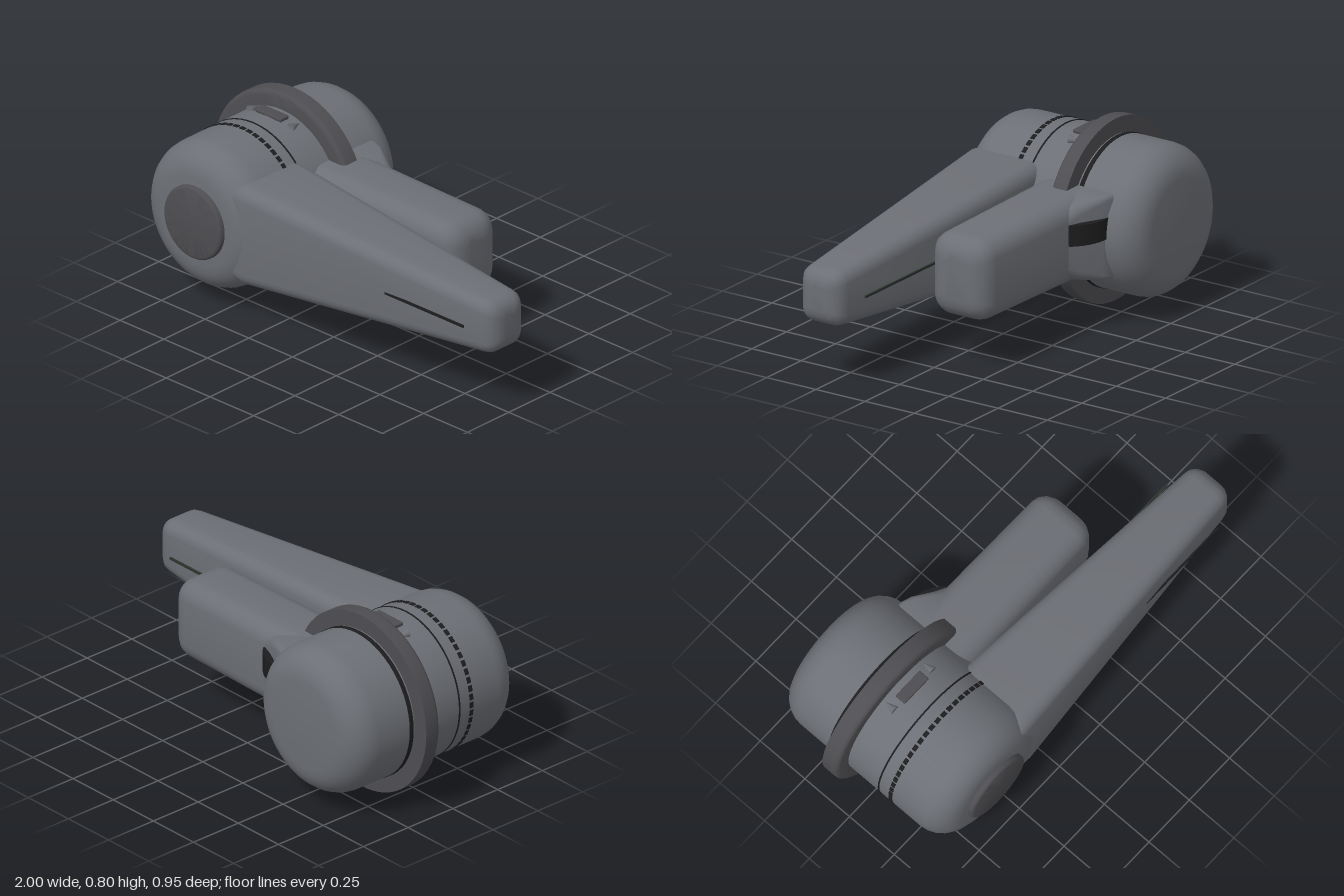
import * as THREE from 'three';
import { toCreasedNormals } from 'three/addons/utils/BufferGeometryUtils.js';
import { RoundedBoxGeometry } from 'three/addons/geometries/RoundedBoxGeometry.js';

const CX = -0.6, CY = 0.404; // drum axis, parallel to z

const flat = (name, color) => {
  const m = new THREE.MeshStandardMaterial({ color });
  m.name = name;
  return m;
};

// Solid of revolution about the drum axis; profile entries are [radius, z], back to front
function turned(profile, segments = 56) {
  const g = new THREE.LatheGeometry(profile.map(([r, z]) => new THREE.Vector2(r, z)), segments);
  g.rotateX(Math.PI / 2);
  g.translate(CX, CY, 0);
  return toCreasedNormals(g, 0.6);
}

// Quarter-round profile points between two angles
function arc(r, z, rad, from, to, steps = 6) {
  return Array.from({ length: steps + 1 }, (_, i) => {
    const a = from + (to - from) * i / steps;
    return [r + rad * Math.cos(a), z + rad * Math.sin(a)];
  });
}

// Rounded rectangles [x, yMin, yMax, zMin, zMax, cornerRadius] joined along x
function loft(stations) {
  const steps = 5, n = 4 * (steps + 1), pos = [], idx = [];
  for (const [x, y0, y1, z0, z1, r] of stations) {
    const cy = (y0 + y1) / 2, cz = (z0 + z1) / 2;
    for (let q = 0; q < 4; q++) for (let k = 0; k <= steps; k++) {
      const a = (q + k / steps) * Math.PI / 2;
      const sy = q === 0 || q === 3 ? 1 : -1, sz = q < 2 ? 1 : -1;
      pos.push(x, cy + sy * ((y1 - y0) / 2 - r) + r * Math.cos(a),
        cz + sz * ((z1 - z0) / 2 - r) + r * Math.sin(a));
    }
  }
  const last = stations.length - 1;
  for (let i = 0; i < last; i++) for (let j = 0; j < n; j++) {
    const k = (j + 1) % n, a = i * n + j, b = i * n + k;
    idx.push(a, b, b + n, a, b + n, a + n);
  }
  for (let j = 1; j < n - 1; j++) {
    idx.push(0, j + 1, j, last * n, last * n + j, last * n + j + 1);
  }
  const g = new THREE.BufferGeometry();
  g.setAttribute('position', new THREE.Float32BufferAttribute(pos, 3));
  g.setIndex(idx);
  return toCreasedNormals(g, 0.6);
}

// Rounds off the far end of a loft by shrinking its last section along a quarter circle
function roundedEnd([x, y0, y1, z0, z1, r], rad) {
  return [1, 2, 3, 4].map(i => {
    const a = i / 4 * Math.PI / 2, d = rad * (1 - Math.cos(a));
    return [x + rad * Math.sin(a), y0 + d, y1 - d, z0 + d, z1 - d, Math.max(r - d * 0.6, 0.02)];
  });
}

export function createModel() {
  const model = new THREE.Group();
  const body = flat('body grey', 0x6c6f75);
  const trim = flat('trim grey', 0x4e4d51);
  const black = flat('marking black', 0x1d1d1f);
  const olive = flat('marking olive', 0x2c332c);
  const add = (name, geometry, material) => {
    const m = new THREE.Mesh(geometry, material);
    m.name = name;
    model.add(m);
    return m;
  };
  const H = Math.PI / 2;

  // Drum with round shoulders
  add('drum', turned([[0, -0.475], ...arc(0.2, -0.345, 0.13, -H, 0),
    ...arc(0.2, 0.32, 0.13, 0, H), [0, 0.45]]), body);

  // Collar: rounded front edge, square back edge
  add('collar', turned([[0.32, -0.15], [0.402, -0.15], ...arc(0.38, -0.092, 0.022, 0, H, 4), [0.32, -0.07]]), trim);

  // Button on the front end
  add('endButton', turned([[0.165, 0.44], ...arc(0.15, 0.46, 0.015, 0, H, 4), [0, 0.475]]), trim);

  // Thin dark lines round the drum
  const band = (name, z, w) => add(name, turned([[0.329, z - w / 2], [0.3325, z - w / 2],
    [0.3325, z + w / 2], [0.329, z + w / 2]]), black);
  band('frontSeam', 0.1, 0.007);
  band('rearSeam', -0.168, 0.02);

  // Ring of dashes
  const dashes = new THREE.Group();
  dashes.name = 'dashRing';
  const dashGeometry = new THREE.BoxGeometry(0.006, 0.026, 0.019);
  for (let i = 0; i < 56; i++) {
    const a = i / 56 * Math.PI * 2;
    const dash = new THREE.Mesh(dashGeometry, black);
    dash.name = 'dash';
    dash.position.set(CX + 0.33 * Math.cos(a), CY + 0.33 * Math.sin(a), 0.166);
    dash.rotation.z = a;
    dashes.add(dash);
  }
  model.add(dashes);

  // Pads and small studs on top and underneath
  for (const s of [1, -1]) {
    add(s > 0 ? 'topPad' : 'bottomPad', new RoundedBoxGeometry(0.15, 0.018, 0.052, 2, 0.006), trim)
      .position.set(CX, CY + s * 0.334, -0.01);
    for (const e of [1, -1]) {
      const stud = new THREE.ConeGeometry(0.02, 0.055, 12);
      stud.rotateX(-H);
      add('stud', stud, body).position.set(CX + e * 0.117, CY + s * 0.313, -0.028);
    }
  }

  // Long tapered front lever
  const frontTip = [0.93, 0.281, 0.528, 0.133, 0.35, 0.055];
  add('frontLever', loft([[-0.5, 0.24, 0.568, 0.09, 0.41, 0.06], [-0.41, 0.18, 0.628, 0.065, 0.435, 0.06],
    [-0.36, 0.175, 0.634, 0.056, 0.438, 0.06], frontTip, ...roundedEnd(frontTip, 0.068)]), body);

  // Thin index lines either side of the front lever
  add('frontIndexLine', new THREE.BoxGeometry(0.575, 0.01, 0.008), black).position.set(0.578, CY, 0.381);
  add('backIndexLine', new THREE.BoxGeometry(0.575, 0.01, 0.008), olive).position.set(0.578, CY, 0.094);

  // Short rear lever
  const rearTip = [0.4, 0.224, 0.584, -0.247, 0.048, 0.08];
  add('rearLever', loft([[-0.42, 0.215, 0.594, -0.257, 0.058, 0.085], rearTip, ...roundedEnd(rearTip, 0.086)]), body);

  // Flared root blending the rear lever into the drum
  add('rearFlare', loft([[-0.42, 0.22, 0.592, -0.335, -0.1, 0.02], [-0.31, 0.22, 0.592, -0.338, -0.1, 0.02],
    [-0.26, 0.222, 0.59, -0.323, -0.1, 0.025], [-0.17, 0.24, 0.57, -0.275, -0.1, 0.04],
    [-0.06, 0.28, 0.53, -0.235, -0.1, 0.05]]), body);

  // Dark strap bridging the flare
  const strap = new THREE.Shape();
  strap.moveTo(-0.32, -0.2);
  strap.lineTo(-0.11, -0.2);
  strap.lineTo(-0.11, -0.262);
  strap.quadraticCurveTo(-0.17, -0.332, -0.27, -0.334);
  strap.lineTo(-0.32, -0.334);
  const strapGeometry = new THREE.ExtrudeGeometry(strap, { depth: 0.092, bevelEnabled: false, curveSegments: 8 });
  strapGeometry.rotateX(H);
  strapGeometry.translate(0, 0.5, 0);
  add('rearStrap', strapGeometry, black);

  return model;
}
